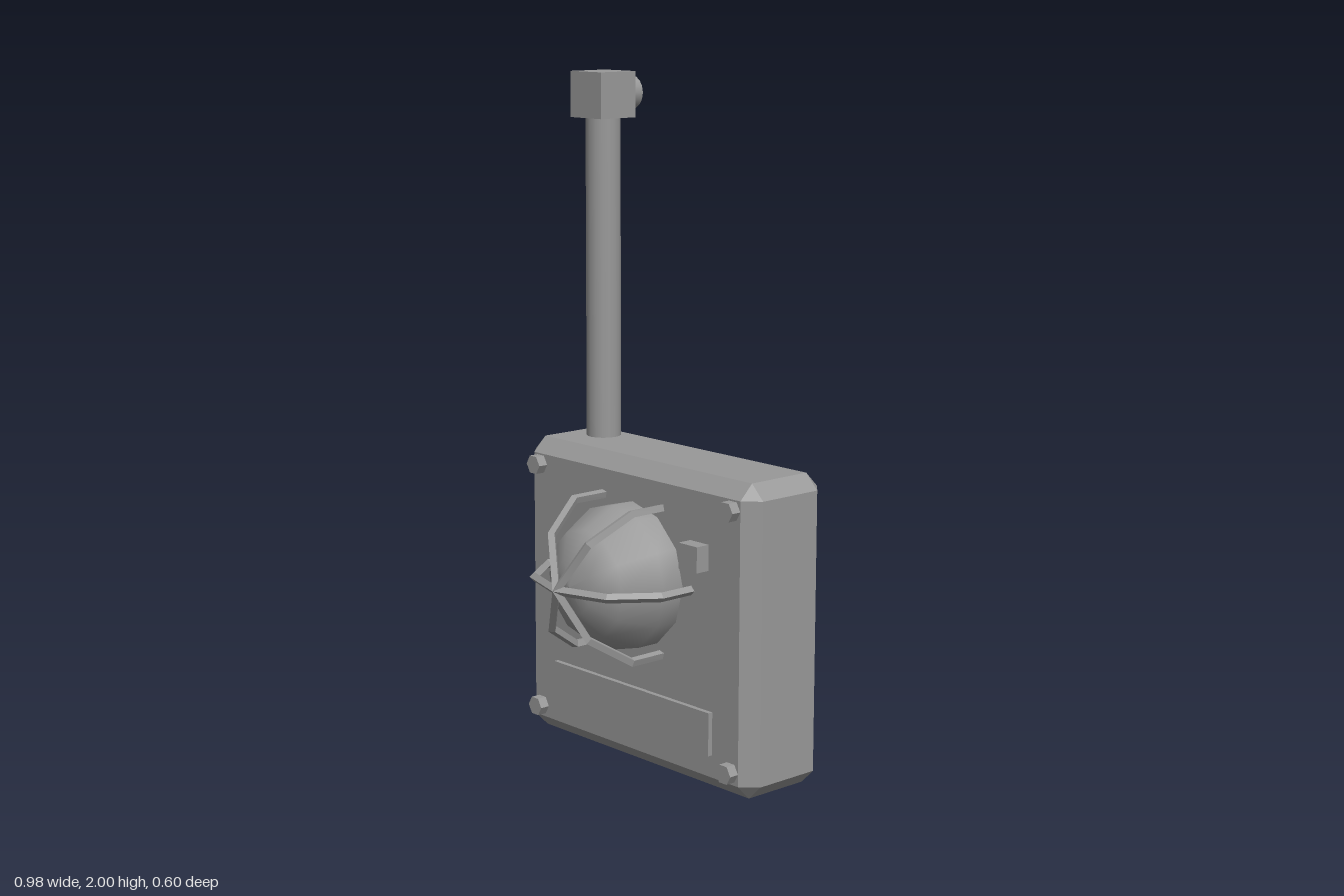
import * as THREE from 'three';
import { ConvexGeometry } from 'three/addons/geometries/ConvexGeometry.js';

// Straight segments between points, with mitred tangents at the corners
class Polyline extends THREE.Curve {
  constructor(points) {
    super();
    this.points = points;
  }
  getPoint(t, target = new THREE.Vector3()) {
    const last = this.points.length - 1;
    const i = Math.min(Math.floor(t * last + 1e-6), last - 1);
    return target.lerpVectors(this.points[i], this.points[i + 1], t * last - i);
  }
  getPointAt(t, target) {
    return this.getPoint(t, target);
  }
  getTangentAt(t, target = new THREE.Vector3()) {
    const p = this.points, last = p.length - 1, i = Math.round(t * last);
    target.set(0, 0, 0);
    if (i > 0) target.add(p[i].clone().sub(p[i - 1]).normalize());
    if (i < last) target.add(p[i + 1].clone().sub(p[i]).normalize());
    return target.normalize();
  }
}

function flat(geometry) {
  const g = geometry.toNonIndexed();
  g.computeVertexNormals();
  return g;
}

// Box with every edge and corner cut off
function chamferedBox(w, h, d, c) {
  const points = [];
  for (const sx of [-1, 1]) for (const sy of [-1, 1]) for (const sz of [-1, 1])
    for (const [a, b, e] of [[0, c, c], [c, 0, c], [c, c, 0]])
      points.push(new THREE.Vector3(sx * (w / 2 - a), sy * (h / 2 - b), sz * (d / 2 - e)));
  return new ConvexGeometry(points);
}

export function createModel() {
  const model = new THREE.Group();
  model.name = 'wallAlarm';
  const grey = new THREE.MeshStandardMaterial({ color: 0x999999 });
  grey.name = 'grey';

  function add(name, geometry, x, y, z, parent = model) {
    const mesh = new THREE.Mesh(geometry, grey);
    mesh.name = name;
    mesh.position.set(x, y, z);
    parent.add(mesh);
    return mesh;
  }

  // Housing
  add('housing', chamferedBox(0.98, 0.91, 0.3, 0.044), 0, 0.455, -0.15);

  // Conduit with its junction block and rear plug
  add('conduit', new THREE.CylinderGeometry(0.052, 0.052, 1.0, 16), -0.342, 1.38, -0.187);
  add('junctionBlock', new THREE.BoxGeometry(0.137, 0.135, 0.135), -0.342, 1.9325, -0.187);
  add('rearPlug', new THREE.CylinderGeometry(0.05, 0.05, 0.06, 16).rotateX(Math.PI / 2), -0.342, 1.935, -0.27);

  // Dome
  const profile = [[0.215, -0.02], [0.215, 0.07], [0.16, 0.18], [0.08, 0.226], [0, 0.24]]
    .map(([r, y]) => new THREE.Vector2(r, y));
  add('dome', new THREE.LatheGeometry(profile, 12).rotateX(Math.PI / 2), 0, 0.575, 0);

  // Guard cage: three crossing arches
  const cage = new THREE.Group();
  cage.name = 'guardCage';
  cage.position.y = 0.575;
  model.add(cage);
  const half = [[0.25, -0.02], [0.25, 0.113], [0.16, 0.236]];
  const arch = new Polyline([
    ...half.map(([x, z]) => new THREE.Vector3(-x, 0, z)),
    new THREE.Vector3(0, 0, 0.287),
    ...half.slice().reverse().map(([x, z]) => new THREE.Vector3(x, 0, z)),
  ]);
  const archGeometry = flat(new THREE.TubeGeometry(arch, 6, 0.014, 4, false));
  for (let i = 0; i < 3; i++)
    add('guardBar', archGeometry, 0, 0, 0, cage).rotation.z = i * Math.PI / 3;

  // Front fittings
  add('indicator', new THREE.BoxGeometry(0.075, 0.075, 0.055), 0.283, 0.683, 0.0175);
  add('labelPlate', new THREE.BoxGeometry(0.68, 0.127, 0.025), 0, 0.174, 0.0025);

  // Hexagonal corner bolts
  const bolt = flat(new THREE.CylinderGeometry(0.03, 0.03, 0.04, 6).rotateY(Math.PI / 2).rotateX(Math.PI / 2));
  for (const x of [-0.416, 0.416]) for (const y of [0.08, 0.835]) add('bolt', bolt, x, y, 0.01);

  return model;
}
